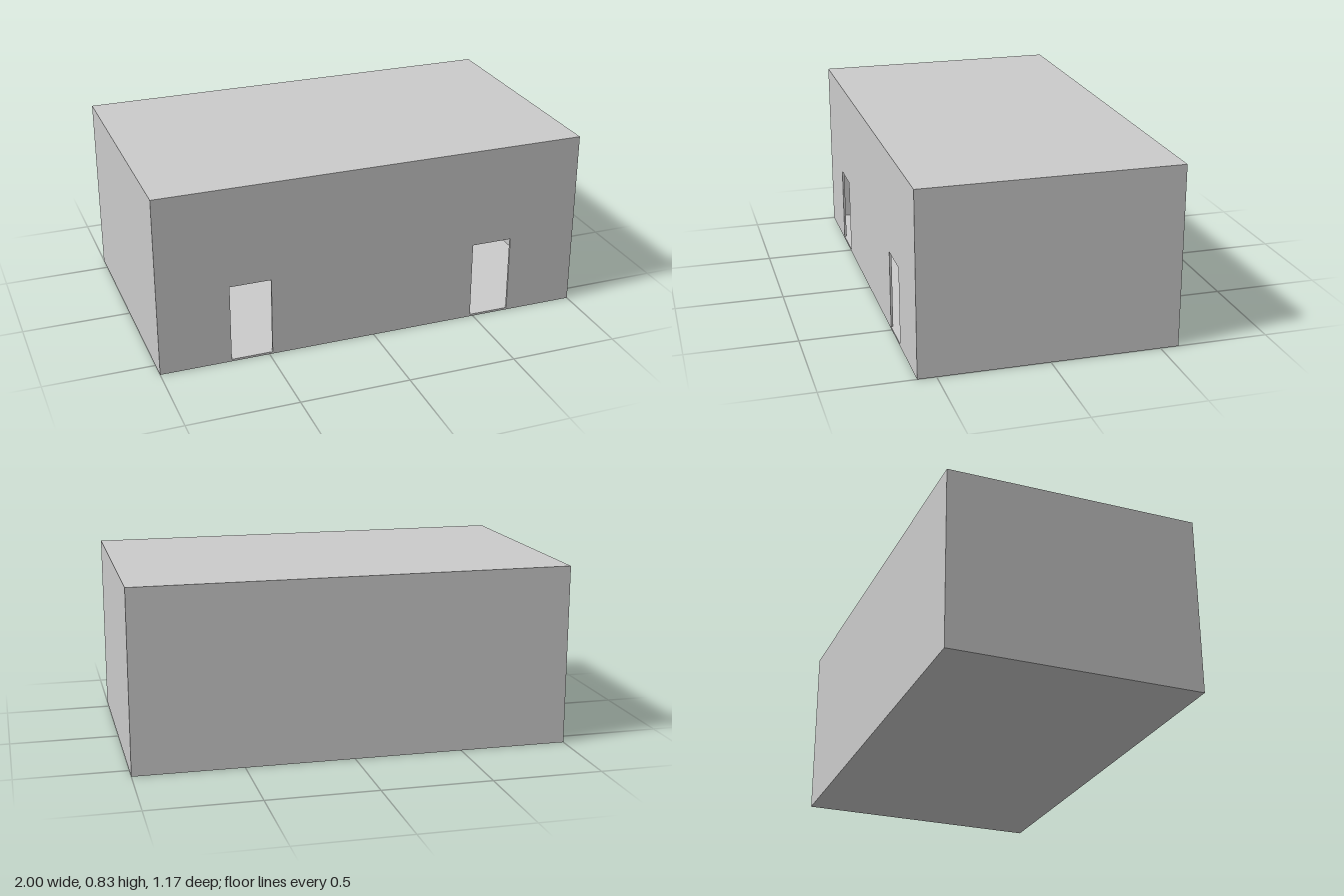
import * as THREE from 'three';

const W = 2, H = 0.833, D = 1.167; // outer size
const T = 0.01;                    // wall thickness
const DOOR = { x: 0.58, width: 0.19, top: 0.37 };

const material = new THREE.MeshStandardMaterial({ color: 0xcccccc, flatShading: true });

function addMesh(group, name, geometry, x, y, z) {
  const mesh = new THREE.Mesh(geometry, material);
  mesh.name = name;
  mesh.position.set(x, y, z);
  group.add(mesh);
}

function rectangle(Type, x0, y0, x1, y1) {
  const r = new Type();
  r.moveTo(x0, y0);
  r.lineTo(x1, y0);
  r.lineTo(x1, y1);
  r.lineTo(x0, y1);
  r.closePath();
  return r;
}

export function createModel() {
  const model = new THREE.Group();
  model.name = 'hollowBuilding';

  // Floor and flat roof slabs
  const slab = new THREE.BoxGeometry(W, T, D);
  addMesh(model, 'floor', slab, 0, T / 2, 0);
  addMesh(model, 'roof', slab, 0, H - T / 2, 0);

  // Side and back walls between the slabs
  const wallHeight = H - 2 * T;
  const sideWall = new THREE.BoxGeometry(T, wallHeight, D - 2 * T);
  addMesh(model, 'leftWall', sideWall, (W - T) / 2, H / 2, 0);
  addMesh(model, 'rightWall', sideWall, -(W - T) / 2, H / 2, 0);
  addMesh(model, 'backWall', new THREE.BoxGeometry(W, wallHeight, T), 0, H / 2, -(D - T) / 2);

  // Front wall with two open doorways that start at floor level
  const { x, width, top } = DOOR;
  const h = width / 2;
  const outline = new THREE.Shape();
  outline.moveTo(-W / 2, H - T);
  outline.lineTo(-W / 2, T);
  for (const s of [-1, 1]) {
    outline.lineTo(s * x - h, T);
    outline.lineTo(s * x - h, top);
    outline.lineTo(s * x + h, top);
    outline.lineTo(s * x + h, T);
  }
  outline.lineTo(W / 2, T);
  outline.lineTo(W / 2, H - T);
  outline.closePath();
  const front = new THREE.ExtrudeGeometry(outline, { depth: T, bevelEnabled: false });
  addMesh(model, 'frontWall', front, 0, 0, D / 2 - T);

  return model;
}
